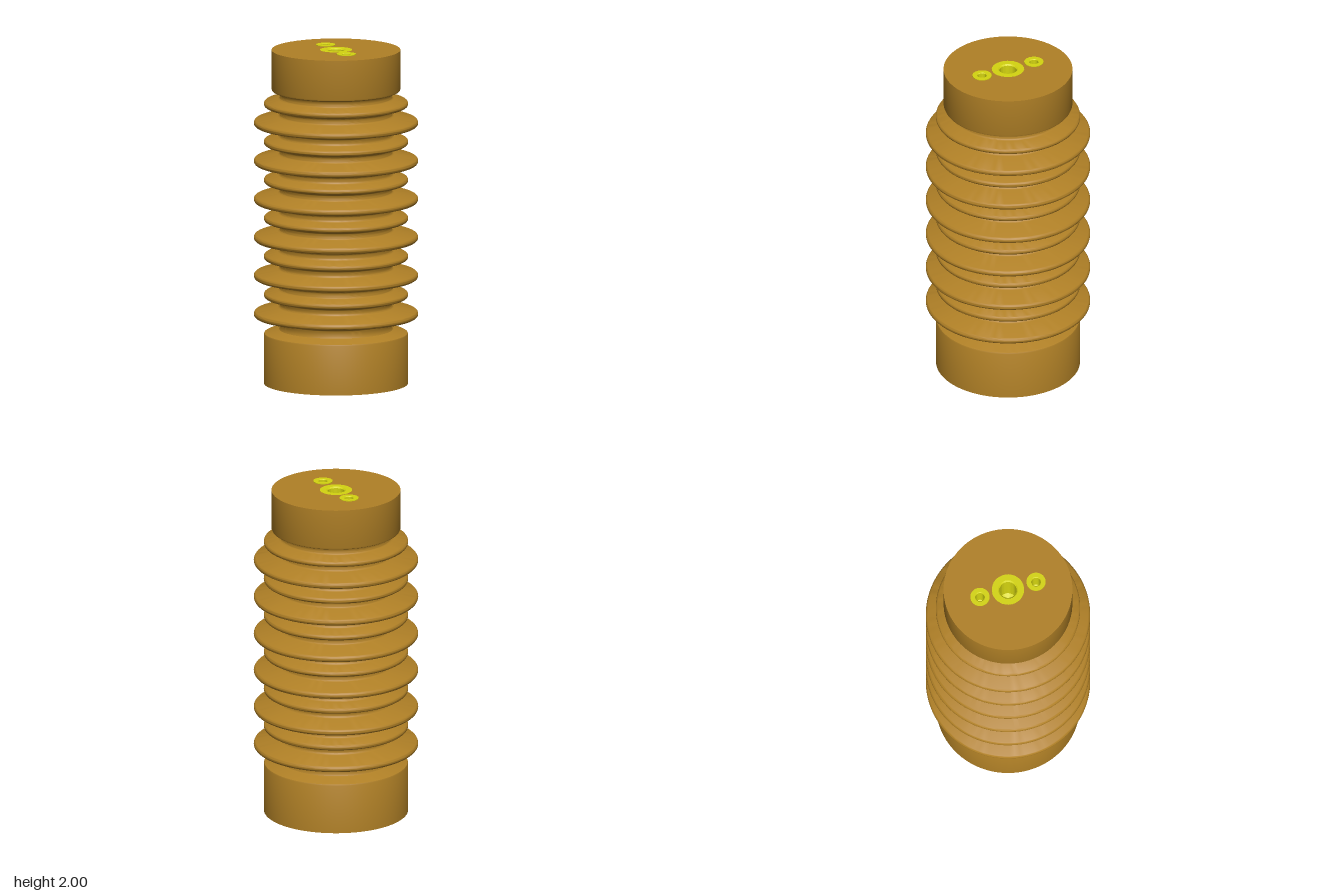
import * as THREE from 'three';
import { toCreasedNormals } from 'three/addons/utils/BufferGeometryUtils.js';

const bodyMat = new THREE.MeshStandardMaterial({ color: 0xb08026 });
const insertMat = new THREE.MeshStandardMaterial({ color: 0xd4d410 });
const CORE = 0.33, TOP = 1.996;

function addMesh(parent, name, geometry, material) {
  const mesh = new THREE.Mesh(geometry, material);
  mesh.name = name;
  parent.add(mesh);
  return mesh;
}

function turned(points, segments) {
  const pts = points.map(([r, y]) => new THREE.Vector2(r, y));
  return toCreasedNormals(new THREE.LatheGeometry(pts, segments), 0.6);
}

// Outline of one rib: fillet, sloped underside, round lip, sloped top, fillet
function rib(y, radius, root, lip) {
  const f = 0.016, half = [];
  for (let i = 0; i <= 4; i++) {
    const a = (i / 4) * Math.PI * 0.44;
    half.push([CORE + f * (1 - Math.cos(a)), -root + f * Math.sin(a)]);
  }
  for (let i = 1; i <= 6; i++) {
    const a = -Math.PI * 0.44 * (1 - i / 6);
    half.push([radius - lip + lip * Math.cos(a), lip * Math.sin(a)]);
  }
  const upper = half.slice(0, -1).reverse().map(([r, h]) => [r, -h]);
  return [...half, ...upper].map(([r, h]) => [r, y + h]);
}

// Threaded socket with chamfered mouth and conical floor, facing up from y = 0
function socket(outer, hole, depth) {
  return [
    [outer, -depth], [outer, 0], [hole * 1.15, 0], [hole, -hole * 0.15],
    [hole, -depth], [0, -depth - hole * 0.6],
  ];
}

export function createModel() {
  const model = new THREE.Group();
  model.name = 'ribbedInsulator';

  // Base, alternating wide and narrow ribs, and top cap in one outline
  const outline = [
    [0.11, 0], [0.425, 0], [0.425, 0.295], [0.422, 0.302], [0.414, 0.306],
    [0.345, 0.32], [0.335, 0.325], [CORE, 0.335],
  ];
  for (let i = 0; i < 6; i++) {
    const y = 0.416 + i * 0.2287;
    outline.push(...rib(y, 0.485, 0.056, 0.02));
    outline.push(...rib(y + 0.114, 0.426, 0.046, 0.018));
  }
  outline.push([CORE, 1.732], [0.335, 1.741], [0.345, 1.746], [0.37, 1.75],
    [0.377, 1.754], [0.38, 1.762], [0.38, TOP]);
  addMesh(model, 'ribbedBody', turned(outline, 96), bodyMat);

  // Top face, opened for the inserts
  const face = new THREE.Shape().absarc(0, 0, 0.38, 0, Math.PI * 2);
  for (const [z, r] of [[0, 0.095], [0.172, 0.056], [-0.172, 0.056]]) {
    face.holes.push(new THREE.Path().absarc(0, z, r, 0, Math.PI * 2, true));
  }
  const faceGeometry = new THREE.ShapeGeometry(face, 48);
  faceGeometry.rotateX(-Math.PI / 2);
  addMesh(model, 'topFace', faceGeometry, bodyMat).position.y = TOP;

  // Central top insert and the two small ones standing slightly proud
  addMesh(model, 'centreInsert', turned(socket(0.096, 0.05, 0.2), 48), insertMat).position.y = TOP;
  for (const side of [1, -1]) {
    addMesh(model, side > 0 ? 'frontInsert' : 'backInsert', turned(socket(0.057, 0.026, 0.12), 40), insertMat)
      .position.set(0, 2, 0.172 * side);
  }

  // Bottom insert, opening downwards
  addMesh(model, 'bottomInsert', turned(socket(0.112, 0.064, 0.2), 48), insertMat).rotation.x = Math.PI;

  return model;
}
